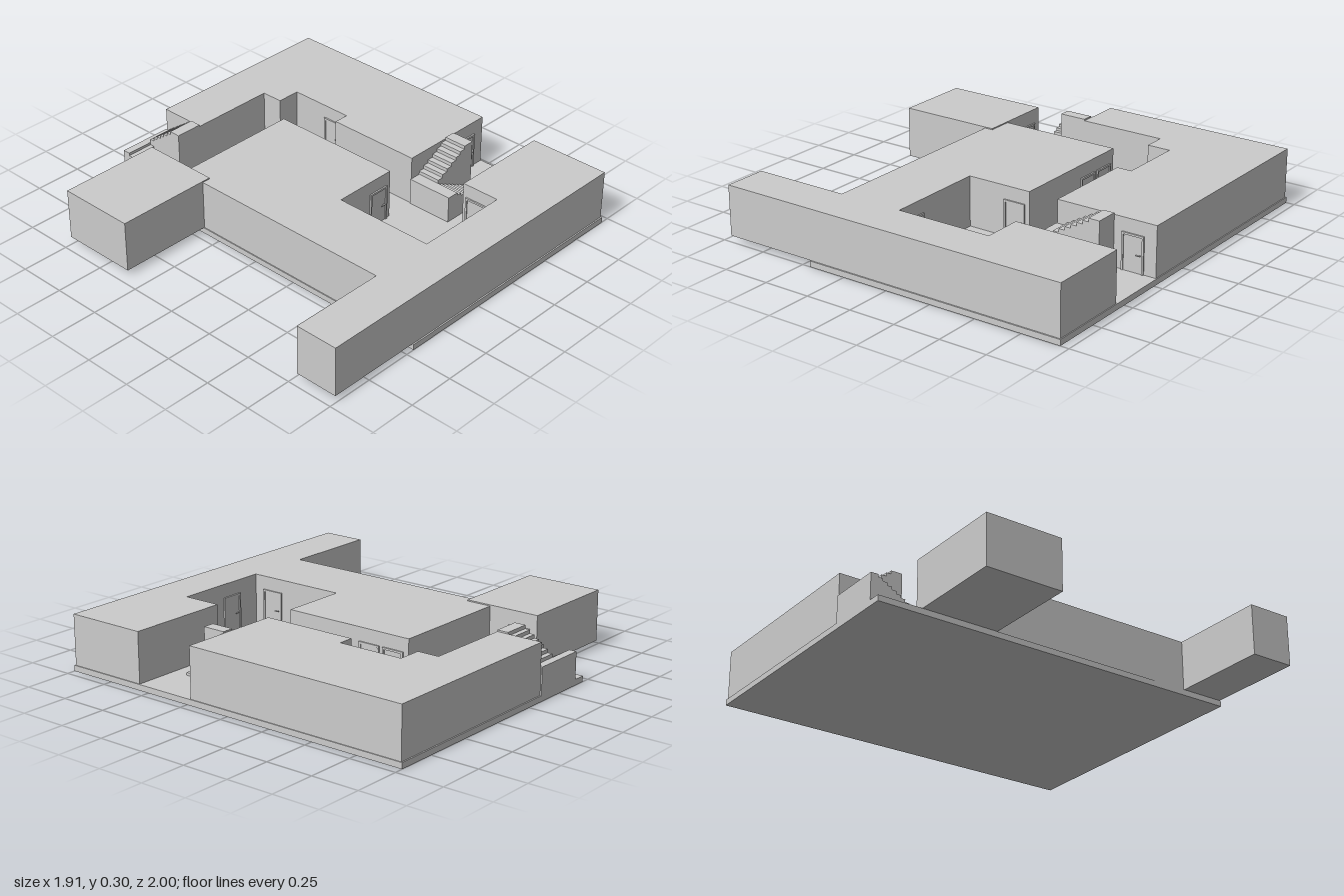
import * as THREE from 'three';

const FLOOR = 0.03, ROOF = 0.29;
const mat = new THREE.MeshStandardMaterial({ color: 0xcccccc, flatShading: true });

function add(parent, name, geometry) {
  const mesh = new THREE.Mesh(geometry, mat);
  mesh.name = name;
  parent.add(mesh);
  return mesh;
}

// Box given by its lower and upper corners
function box(parent, name, [x0, y0, z0], [x1, y1, z1]) {
  const mesh = add(parent, name, new THREE.BoxGeometry(x1 - x0, y1 - y0, z1 - z0));
  mesh.position.set((x0 + x1) / 2, (y0 + y1) / 2, (z0 + z1) / 2);
  return mesh;
}

// Vertical walls with a flat roof over a floor plan of [x, z] corners
function block(parent, name, plan) {
  const shape = new THREE.Shape(plan.map(([x, z]) => new THREE.Vector2(x, -z)));
  const geometry = new THREE.ExtrudeGeometry(shape, { depth: ROOF - FLOOR, bevelEnabled: false });
  geometry.rotateX(-Math.PI / 2);
  geometry.translate(0, FLOOR, 0);
  return add(parent, name, geometry);
}

// Solid flight climbing along local +x, extruded across its width along local +z
function flight(parent, name, length, width, y0, y1, steps, topTread) {
  const shape = new THREE.Shape();
  const run = (length - topTread) / (steps - 1), rise = (y1 - y0) / steps;
  shape.moveTo(0, FLOOR);
  for (let i = 0; i < steps; i++) {
    shape.lineTo(i * run, y0 + (i + 1) * rise);
    shape.lineTo(i === steps - 1 ? length : (i + 1) * run, y0 + (i + 1) * rise);
  }
  shape.lineTo(length, FLOOR);
  return add(parent, name, new THREE.ExtrudeGeometry(shape, { depth: width, bevelEnabled: false }));
}

// Two parallel flights turning at a half-height landing at local x = 0.
// The upper flight fills z 0..width, the lower one z width..2*width.
function staircase(parent, name, length, width, landing) {
  const group = new THREE.Group();
  group.name = name;
  const mid = 0.17;
  box(group, 'landing', [0, FLOOR, 0], [landing, mid, width]);
  const upper = flight(group, 'upperFlight', length - landing, width, mid, ROOF + 0.008, 7, 0.06);
  upper.position.x = landing;
  const lower = flight(group, 'lowerFlight', length, width, FLOOR, mid, 10, landing);
  lower.rotation.y = Math.PI;
  lower.position.set(length, 0, 2 * width);
  parent.add(group);
  return group;
}

// Door facing local +z: frame, leaf and lever handle
function door(parent, x, z, turn) {
  const group = new THREE.Group();
  group.name = 'door';
  const w = 0.06, h = 0.19, t = 0.008;
  for (const s of [-1, 1]) {
    const a = s * w, b = s * (w - 0.01);
    box(group, 'doorJamb', [Math.min(a, b), 0, 0], [Math.max(a, b), h, t]);
  }
  box(group, 'doorHead', [-w + 0.01, h - 0.01, 0], [w - 0.01, h, t]);
  box(group, 'doorLeaf', [-w + 0.01, 0, 0], [w - 0.01, h - 0.01, 0.003]);
  box(group, 'doorHandle', [0.018, 0.088, 0.008], [0.042, 0.093, 0.012]);
  box(group, 'handleStem', [0.036, 0.088, 0.003], [0.042, 0.093, 0.008]);
  group.position.set(x, FLOOR, z);
  group.rotation.y = turn;
  parent.add(group);
}

export function createModel() {
  const model = new THREE.Group();
  model.name = 'building';

  box(model, 'baseSlab', [-0.455, 0, -1], [0.955, FLOOR, 1]);

  // West and south wing with its two projecting arms
  block(model, 'westWing', [
    [-0.95, -0.765], [-0.95, -0.355], [-0.45, -0.355], [-0.45, 0.765],
    [-0.96, 0.765], [-0.96, 0.993], [0.95, 0.993], [0.95, 0.56],
    [0.405, 0.56], [0.405, 0.765], [-0.105, 0.765], [-0.105, 0.23],
    [0.245, 0.23], [0.245, -0.49], [-0.405, -0.49], [-0.405, -0.765],
  ]);
  box(model, 'armRoof', [-0.95, ROOF, -0.765], [-0.405, ROOF + 0.006, -0.355]);

  // East and north wing
  block(model, 'eastWing', [
    [-0.10, -0.993], [-0.10, -0.745], [0.36, -0.745], [0.36, -0.63],
    [0.485, -0.63], [0.485, -0.28], [0.405, -0.28], [0.405, 0.23],
    [0.95, 0.23], [0.95, -0.993],
  ]);

  // Courtyard staircase, climbing west then back east
  staircase(model, 'courtyardStairs', 0.32, 0.123, 0.065).position.set(0.40, 0, 0.23);

  // Back staircase, climbing north then back south
  const backStairs = staircase(model, 'backStairs', 0.255, 0.145, 0.04);
  backStairs.rotation.y = -Math.PI / 2;
  backStairs.position.set(-0.10, 0, -1);

  // Doors: x, z and facing direction
  const E = Math.PI / 2, W = -E, S = 0, N = Math.PI;
  for (const [x, z, turn] of [
    [0.16, 0.23, S], [0.825, 0.23, S],
    [0.245, -0.26, E], [0.245, -0.40, E], [-0.405, -0.665, E], [-0.105, 0.65, E],
    [0.327, 0.765, N], [0.08, 0.765, N],
    [0.405, 0.64, W], [0.485, -0.37, W],
  ]) door(model, x, z, turn);

  return model;
}
